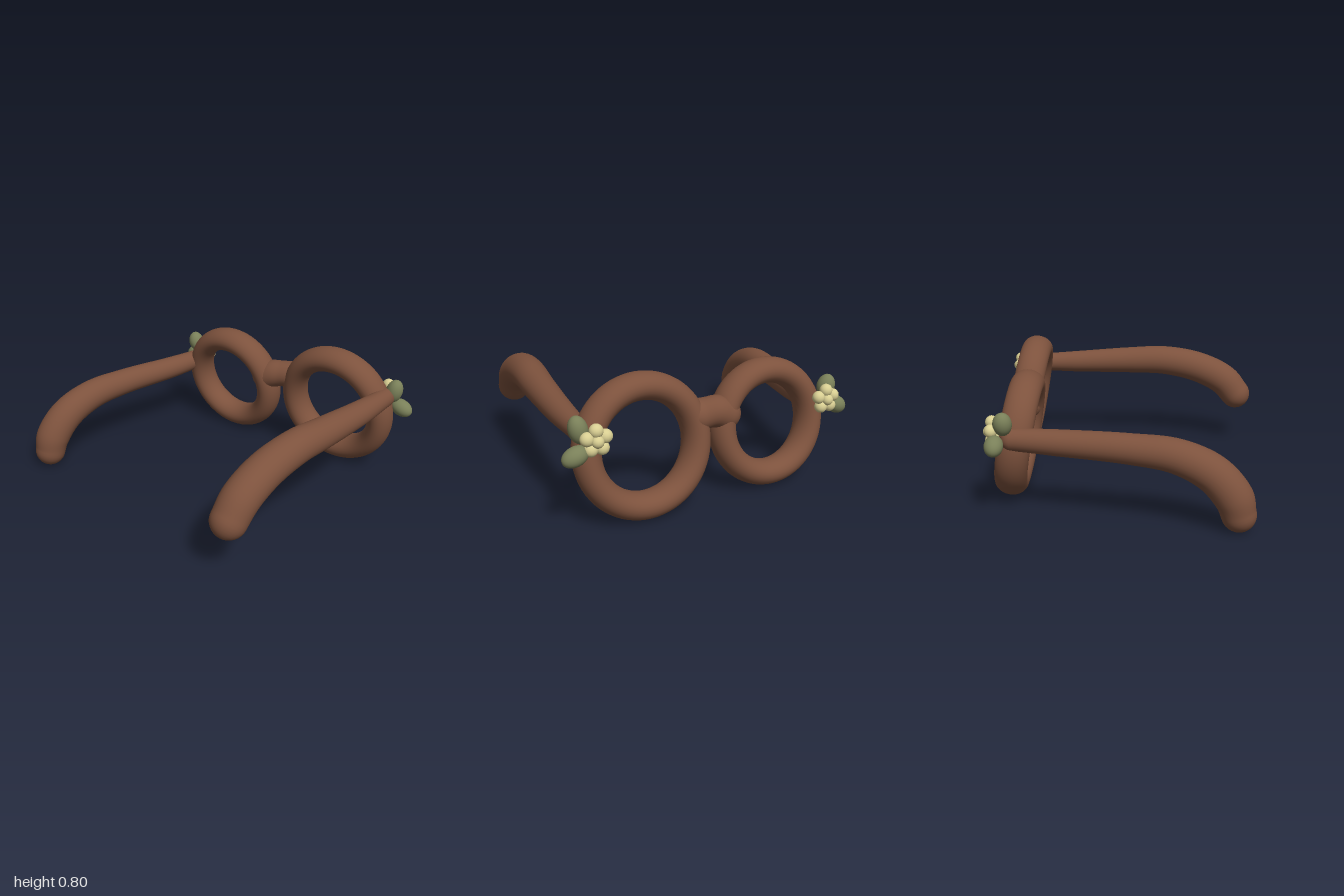
import * as THREE from 'three';

const brown = new THREE.MeshStandardMaterial({ color: 0x7d523d });
brown.name = 'brown frame';
const green = new THREE.MeshStandardMaterial({ color: 0x7a8059 });
green.name = 'leaf green';
const cream = new THREE.MeshStandardMaterial({ color: 0xd8ce92 });
cream.name = 'petal cream';

function add(parent, name, geometry, material) {
  const mesh = new THREE.Mesh(geometry, material);
  mesh.name = name;
  parent.add(mesh);
  return mesh;
}

// Round tube through stations [x, y, z, radius] with domed ends; side fixes the section's orientation
function taperedTube(stations, side, segments = 48, around = 28) {
  const path = new THREE.CatmullRomCurve3(stations.map(s => new THREE.Vector3(s[0], s[1], s[2])));
  const radii = new THREE.SplineCurve(stations.map((s, i) => new THREE.Vector2(i, s[3])));
  const rings = [];
  const ring = (t, along, scale) => rings.push({ t, along, scale });
  const dome = 8;
  for (let k = 0; k < dome; k++) {
    const a = (k / dome) * Math.PI / 2;
    ring(0, -Math.cos(a), Math.max(Math.sin(a), 0.001));
  }
  for (let i = 0; i <= segments; i++) ring(i / segments, 0, 1);
  for (let k = 1; k <= dome; k++) {
    const a = (k / dome) * Math.PI / 2;
    ring(1, Math.sin(a), Math.max(Math.cos(a), 0.001));
  }
  const positions = [], index = [];
  rings.forEach(({ t, along, scale }, i) => {
    const T = path.getTangent(t), r = radii.getPoint(t).y;
    const N = side.clone().addScaledVector(T, -side.dot(T)).normalize();
    const B = T.clone().cross(N);
    const c = path.getPoint(t).addScaledVector(T, along * r);
    for (let j = 0; j < around; j++) {
      const a = (j / around) * Math.PI * 2;
      const p = c.clone().addScaledVector(N, Math.cos(a) * r * scale).addScaledVector(B, Math.sin(a) * r * scale);
      positions.push(p.x, p.y, p.z);
      if (i < rings.length - 1) {
        const j2 = (j + 1) % around, m = i * around, n = m + around;
        index.push(m + j, m + j2, n + j, m + j2, n + j2, n + j);
      }
    }
  });
  const g = new THREE.BufferGeometry();
  g.setAttribute('position', new THREE.Float32BufferAttribute(positions, 3));
  g.setIndex(index);
  g.computeVertexNormals();
  return g;
}

// Lens rim: torus deepened front to back, leaning so the top is nearer +z
function addRim(parent, name, x, y, z, radius, tube) {
  const g = new THREE.TorusGeometry(radius, tube, 28, 72);
  g.scale(1, 1.01, 1.27);
  g.rotateX(0.17);
  g.translate(x, y, z);
  add(parent, name, g, brown);
}

// Five-petal blossom facing -z with a bead centre
function addFlower(parent, name, x, y, z) {
  const flower = new THREE.Group();
  flower.name = name;
  flower.position.set(x, y, z);
  for (let i = 0; i < 5; i++) {
    const a = Math.PI / 2 + i * Math.PI * 2 / 5;
    const petal = add(flower, 'petal', new THREE.SphereGeometry(0.038, 20, 14), cream);
    petal.position.set(Math.cos(a) * 0.053, Math.sin(a) * 0.053, 0);
    petal.scale.z = 0.95;
  }
  add(flower, 'flowerCentre', new THREE.SphereGeometry(0.034, 20, 14), cream).position.z = -0.017;
  parent.add(flower);
}

// Plump leaf, long axis turned by angle in the xy plane
function addLeaf(parent, x, y, z, angle, length) {
  const leaf = add(parent, 'leaf', new THREE.SphereGeometry(1, 24, 16), green);
  leaf.scale.set(length, 0.052, 0.053);
  leaf.rotation.z = angle;
  leaf.position.set(x, y, z);
}

export function createModel() {
  const model = new THREE.Group();
  model.name = 'flowerGlasses';
  const X = new THREE.Vector3(1, 0, 0), Z = new THREE.Vector3(0, 0, 1);

  // Rims and bridge
  addRim(model, 'rightRim', -0.31, 0.383, -0.66, 0.299, 0.075);
  addRim(model, 'leftRim', 0.507, 0.408, -0.70, 0.323, 0.077);
  add(model, 'bridge', taperedTube([
    [-0.03, 0.48, -0.65, 0.095], [0.03, 0.505, -0.66, 0.093],
    [0.09, 0.515, -0.675, 0.088], [0.17, 0.52, -0.695, 0.092],
  ], Z, 20), brown);

  // Temples, thickening towards the bent-down tips
  add(model, 'rightTemple', taperedTube([
    [-0.645, 0.445, -0.66, 0.065], [-0.69, 0.44, -0.4, 0.075], [-0.78, 0.435, 0, 0.086],
    [-0.83, 0.41, 0.25, 0.097], [-0.868, 0.325, 0.44, 0.106], [-0.89, 0.2, 0.55, 0.108],
    [-0.894, 0.105, 0.58, 0.097],
  ], X), brown);
  add(model, 'leftTemple', taperedTube([
    [0.853, 0.555, -0.69, 0.06], [0.85, 0.56, -0.4, 0.075], [0.832, 0.575, 0, 0.092],
    [0.81, 0.577, 0.25, 0.101], [0.785, 0.53, 0.49, 0.107], [0.768, 0.44, 0.67, 0.109],
    [0.758, 0.342, 0.755, 0.104],
  ], X), brown);

  // Blossoms with two leaves at each hinge
  addFlower(model, 'rightFlower', -0.655, 0.495, -0.765);
  addLeaf(model, -0.705, 0.55, -0.70, 1.9, 0.07);
  addLeaf(model, -0.75, 0.44, -0.745, 0.5, 0.068);
  addFlower(model, 'leftFlower', 0.815, 0.54, -0.805);
  addLeaf(model, 0.887, 0.59, -0.743, 1.35, 0.078);
  addLeaf(model, 0.925, 0.47, -0.79, -0.35, 0.075);
  return model;
}
